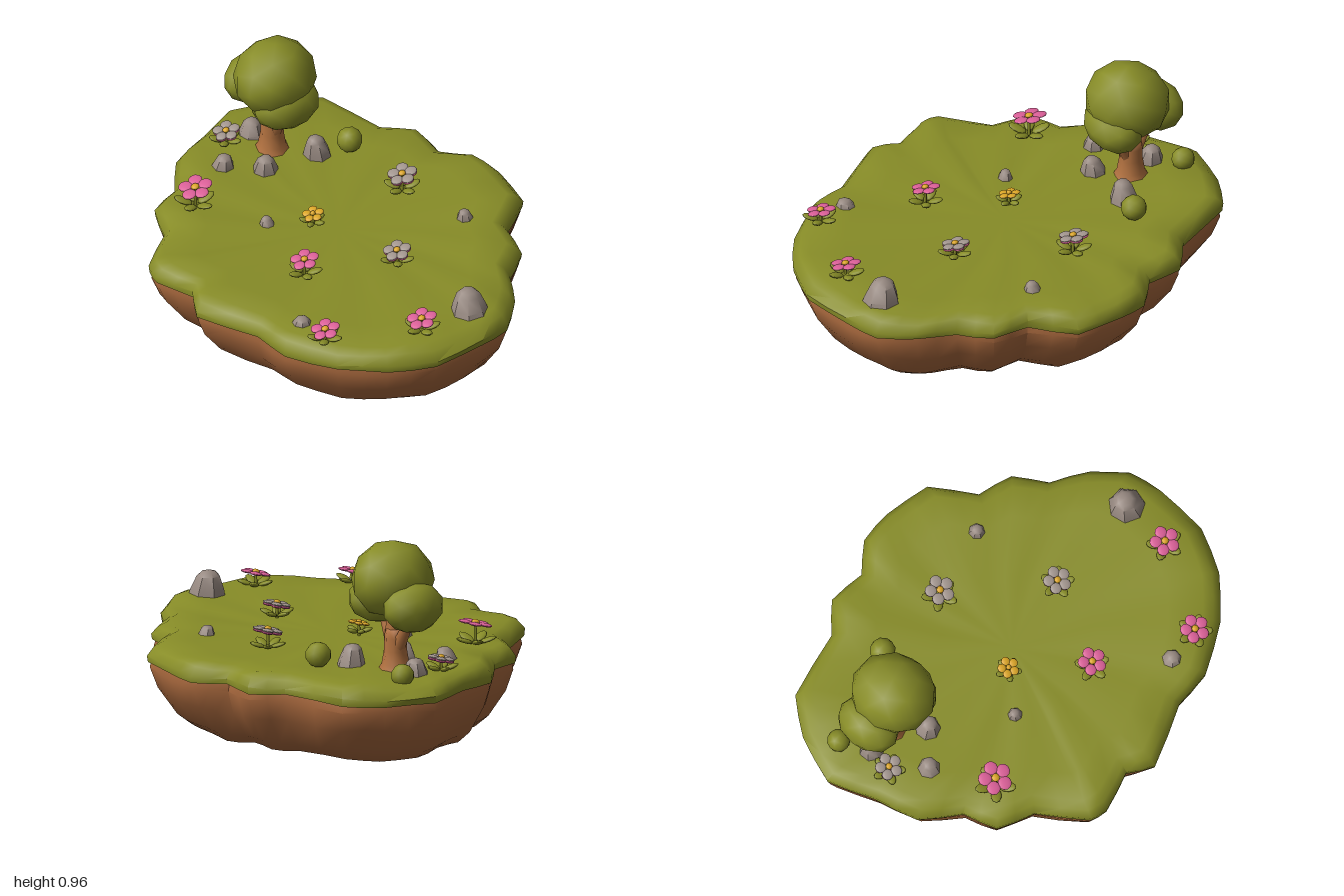
import * as THREE from 'three';
import { toCreasedNormals } from 'three/addons/utils/BufferGeometryUtils.js';

const mat = (name, color) => {
  const m = new THREE.MeshStandardMaterial({ color });
  m.name = name;
  return m;
};

export function createModel() {
  const grass = mat('grass green', 0x878c27);
  const earth = mat('earth brown', 0xa8683d);
  const bark = mat('bark brown', 0xb0703f);
  const stone = mat('stone grey', 0x988a82);
  const pink = mat('petal pink', 0xdb5f98);
  const pale = mat('petal pale', 0xa3968f);
  const yellow = mat('pollen yellow', 0xdba525);

  const root = new THREE.Group();
  root.name = 'floatingMeadow';

  const add = (parent, name, geo, material, x = 0, y = 0, z = 0) => {
    const m = new THREE.Mesh(geo, material);
    m.name = name;
    m.position.set(x, y, z);
    parent.add(m);
    return m;
  };
  const group = (name, x, y, z) => {
    const g = new THREE.Group();
    g.name = name;
    g.position.set(x, y, z);
    root.add(g);
    return g;
  };

  // Island coastline as x, z pairs, clockwise from above
  const coast = [
    -1, -.155, -.93, -.37, -.815, -.53, -.5, -.615, -.38, -.73, -.205, -.72, -.08, -.825, .07, -.835,
    .29, -.8, .42, -.61, .585, -.57, .68, -.43, .84, -.34, .96, -.21, .99, -.05, .99, .2,
    .895, .4, .74, .56, .52, .685, .34, .7, .06, .825, -.055, .76, -.24, .82, -.32, .8,
    -.47, .6, -.635, .53, -.69, .38, -.85, .25, -.915, .05,
  ];
  const corners = [];
  for (let i = 0; i < coast.length; i += 2) corners.push(new THREE.Vector2(coast[i], coast[i + 1]));
  const outline = [];
  corners.forEach((p, i) => {
    const q = corners[(i + 1) % corners.length];
    outline.push(p, p.clone().lerp(q, 0.5).multiplyScalar(1.004));
  });

  // Loft rings of [scale x, scale z, height, wobble] from the underside up
  const loft = (rings, crease) => {
    const pos = [], index = [], n = outline.length;
    rings.forEach(([sx, sz, y, w], i) => outline.forEach((p, j) => {
      const ripple = Math.sin(j * 1.35 + i) + Math.sin(j * 0.47);
      pos.push(p.x * sx, y + w * ripple, p.y * sz);
      if (i === rings.length - 1) return;
      const a = i * n + j, b = i * n + (j + 1) % n;
      index.push(a, a + n, b, b, a + n, b + n);
    }));
    const geo = new THREE.BufferGeometry();
    geo.setAttribute('position', new THREE.Float32BufferAttribute(pos, 3));
    geo.setIndex(index);
    return toCreasedNormals(geo, crease);
  };

  add(root, 'earthBase', loft([
    [0, 0, 0.004, 0], [.5, .5, 0.004, 0], [.8, .75, .01, .005], [.87, .83, .06, .006], [.95, .94, .18, .008],
    [.985, .985, .28, .004], [.97, .97, .33, 0],
  ], 0.8), earth);
  add(root, 'grassTop', loft([
    [.95, .95, .31, 0], [.995, .995, .31, .004], [1, 1, .34, .006], [.965, .965, .375, .006],
    [.92, .91, .393, .005], [.75, .75, .388, .003], [.4, .4, .382, .002], [0, 0, .38, 0],
  ], 1.0), grass);

  // Tree: flared trunk, branches and a three-part crown
  const tree = group('tree', -.64, .37, -.12);
  const trunkProfile = [[.085, 0], [.062, .04], [.052, .1], [.05, .16], [.045, .2], [0, .21]];
  add(tree, 'trunk', new THREE.LatheGeometry(trunkProfile.map(p => new THREE.Vector2(...p)), 8), bark);
  const limb = (name, from, to, r0, r1) => {
    const a = new THREE.Vector3(...from), b = new THREE.Vector3(...to), d = b.clone().sub(a);
    const m = add(tree, name, new THREE.CylinderGeometry(r1, r0, d.length(), 7), bark);
    m.position.copy(a.add(b).multiplyScalar(0.5));
    m.quaternion.setFromUnitVectors(new THREE.Vector3(0, 1, 0), d.normalize());
  };
  limb('rightBranch', [-.02, .12, 0], [-.1, .25, 0], .032, .022);
  limb('leftBranch', [.02, .12, 0], [.09, .25, 0], .032, .022);
  limb('middleBranch', [0, .17, 0], [.01, .3, 0], .045, .035);
  const crown = (name, x, y, z, sx, sy, sz, turn) => {
    const m = add(tree, name, new THREE.IcosahedronGeometry(1, 1), grass, x, y, z);
    m.scale.set(sx, sy, sz);
    m.rotation.y = turn;
  };
  crown('topCrown', .02, .42, 0, .18, .175, .195, .3);
  crown('rightCrown', -.135, .325, 0, .115, .115, .15, .1);
  crown('leftCrown', .105, .32, 0, .115, .115, .16, -.1);

  // Rocks and low bushes: tapered domes [x, z, radius, height]
  const dome = [[1.05, 0], [.9, .4], [.62, .84], [.4, .97], [0, 1]];
  const domes = (name, list, material) => list.forEach(([x, z, r, h], i) => {
    const geo = new THREE.LatheGeometry(dome.map(([a, b]) => new THREE.Vector2(a, b)), 7);
    const p = geo.attributes.position;
    for (let k = 0; k < p.count; k++) p.setX(k, p.getX(k) - .18 * p.getY(k));
    const m = add(root, name, toCreasedNormals(geo, .75), material, x, .36, z);
    m.scale.set(r, h, r);
    m.rotation.y = i * 1.3;
  });
  domes('rock', [
    [.83, -.1, .085, .135], [-.48, -.25, .065, .12], [-.53, 0, .06, .1], [-.66, .14, .055, .085],
    [-.77, -.1, .06, .1], [-.21, .23, .036, .06], [.28, -.49, .042, .07], [.45, .54, .05, .06],
  ], stone);
  [[-.42, -.38, .058, .44], [-.85, -.23, .052, .42]].forEach(([x, z, r, y]) =>
    add(root, 'bush', new THREE.IcosahedronGeometry(r, 1), grass, x, y, z));

  // Flowers: stem, base leaves and a tilted five-petal head
  const ball = new THREE.SphereGeometry(1, 10, 7);
  const petals = (head, material, y, r) => {
    for (let i = 0; i < 5; i++) {
      const a = i * Math.PI * 0.4 + 0.3;
      add(head, 'petal', ball, material, Math.sin(a) * r * .62, y, Math.cos(a) * r * .62)
        .scale.set(r * .43, .008, r * .43);
    }
  };
  const flower = (x, z, headY, r, colour, turn, under) => {
    const f = group('flower', x, .375, z), h = headY - .375;
    add(f, 'stem', new THREE.CylinderGeometry(.006, .008, h, 6), grass, 0, h / 2, 0);
    const leaves = new THREE.Group();
    leaves.name = 'leaves';
    f.add(leaves);
    for (let i = 0; i < 5; i++) {
      const pivot = new THREE.Group();
      pivot.rotation.y = turn + i * Math.PI * 0.4;
      leaves.add(pivot);
      const leaf = add(pivot, 'leaf', ball, grass, r * .72, .03, 0);
      leaf.scale.set(r * .58, .01, r * .33);
      leaf.rotation.z = .35;
    }
    const head = new THREE.Group();
    head.name = 'flowerHead';
    head.position.y = h;
    head.rotation.x = .22;
    f.add(head);
    petals(head, colour, 0, r);
    if (under) petals(head, under, -.009, r * .98);
    add(head, 'flowerCentre', ball, yellow, 0, .006, 0).scale.set(r * .25, .01, r * .25);
  };
  flower(-.51, .4, .48, .075, pink, .2);
  flower(.18, .32, .467, .063, pink, .9);
  flower(.61, .53, .442, .064, pink, .5);
  flower(.81, .15, .448, .066, pink, 1.1);
  flower(-.05, -.39, .472, .066, pale, 0, pink);
  flower(.35, -.06, .447, .062, pale, .7, pink);
  flower(-.79, .02, .446, .06, pale, .4, pink);
  flower(-.09, .07, .438, .048, yellow, .3);

  return root;
}
